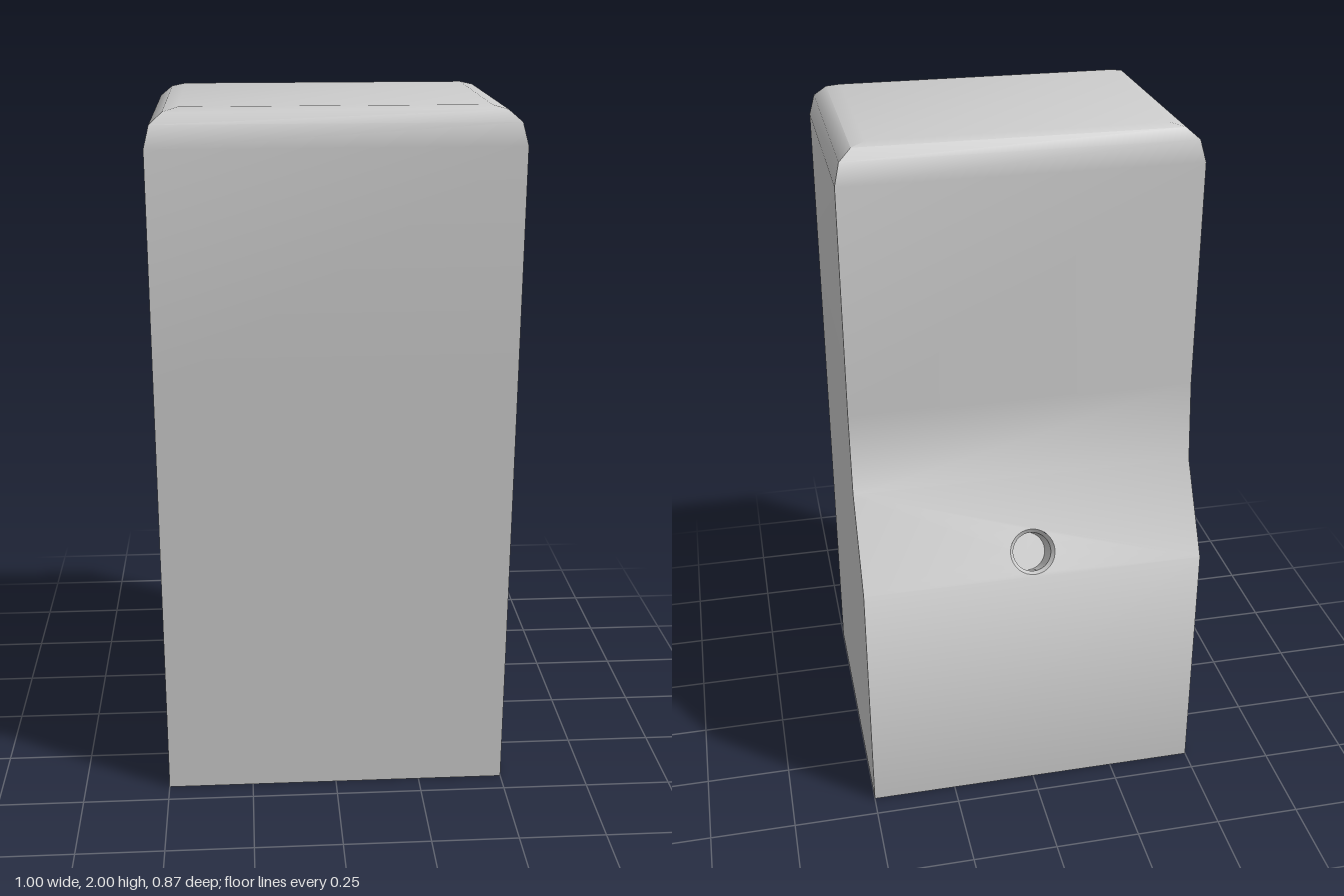
import * as THREE from 'three';
import { mergeGeometries, toCreasedNormals } from 'three/addons/utils/BufferGeometryUtils.js';

// Cross-sections from the base up: [y, half width, back z, front z]
const SECTIONS = [
  [0, 0.5, -0.435, 0.435],
  [0.75, 0.5, -0.435, 0.435],
  [1.0, 0.5, -0.285, 0.435],
  [1.24, 0.5, -0.26, 0.435],
  [1.9, 0.5, -0.26, 0.435],
  [1.96, 0.485, -0.247, 0.422],
  [1.99, 0.45, -0.225, 0.4],
  [2.0, 0.41, -0.205, 0.375],
];
const SLOPE = 1; // index of the section where the sloped back panel starts
const HOLE_RADIUS = 0.066;
const HOLE_OFFSET = 0.072; // hole centre, measured up the slope

// Frame of the sloped panel: x across, y up the slope, z outward
const low = new THREE.Vector3(0, SECTIONS[SLOPE][0], SECTIONS[SLOPE][2]);
const high = new THREE.Vector3(0, SECTIONS[SLOPE + 1][0], SECTIONS[SLOPE + 1][2]);
const up = high.clone().sub(low).normalize();
const across = new THREE.Vector3(-1, 0, 0);
const outward = across.clone().cross(up);

// Four-sided shell lofted through the sections, with the slope left open
function shellGeometry() {
  const rings = SECTIONS.map(([y, w, back, front]) => [
    [-w, y, front], [w, y, front], [w, y, back], [-w, y, back],
  ]);
  const positions = [];
  const quad = (a, b, c, d) => positions.push(...a, ...b, ...c, ...a, ...c, ...d);
  for (let i = 0; i < rings.length - 1; i++) {
    for (let s = 0; s < 4; s++) {
      if (i === SLOPE && s === 2) continue;
      const t = (s + 1) % 4;
      quad(rings[i][s], rings[i][t], rings[i + 1][t], rings[i + 1][s]);
    }
  }
  quad(...rings[rings.length - 1]);
  quad(...[...rings[0]].reverse());
  const geometry = new THREE.BufferGeometry();
  geometry.setAttribute('position', new THREE.Float32BufferAttribute(positions, 3));
  return geometry;
}

// Sloped back panel with the round opening
function slopeGeometry() {
  const length = low.distanceTo(high);
  const shape = new THREE.Shape();
  shape.moveTo(-0.5, 0).lineTo(0.5, 0).lineTo(0.5, length).lineTo(-0.5, length);
  shape.holes.push(new THREE.Path().absarc(0, HOLE_OFFSET, HOLE_RADIUS, 0, Math.PI * 2, true));
  const geometry = new THREE.ShapeGeometry(shape, 16).toNonIndexed();
  geometry.applyMatrix4(new THREE.Matrix4().makeBasis(across, up, outward).setPosition(low));
  geometry.deleteAttribute('normal');
  geometry.deleteAttribute('uv');
  // Snap so the panel edges coincide with the shell
  const p = geometry.attributes.position.array;
  for (let i = 0; i < p.length; i++) p[i] = Math.round(p[i] * 1e4) / 1e4;
  return geometry;
}

export function createModel() {
  const group = new THREE.Group();
  const material = new THREE.MeshStandardMaterial({ color: 0xcccccc });

  // Body: scaled up while creasing so close vertices stay distinct
  let bodyGeometry = mergeGeometries([shellGeometry(), slopeGeometry()]);
  bodyGeometry.scale(100, 100, 100);
  bodyGeometry = toCreasedNormals(bodyGeometry, 0.62);
  bodyGeometry.scale(0.01, 0.01, 0.01);
  const body = new THREE.Mesh(bodyGeometry, material);
  body.name = 'body';
  group.add(body);

  // Blind hole with a chamfered rim, square to the slope
  const profile = [[HOLE_RADIUS, 0], [0.056, -0.012], [0.056, -0.012], [0.056, -0.1], [0.056, -0.1], [0, -0.1]];
  const bore = new THREE.Group();
  bore.name = 'hole';
  for (let i = 0; i < profile.length; i += 2) {
    const points = [profile[i], profile[i + 1]].map(([r, y]) => new THREE.Vector2(r, y));
    const wall = new THREE.Mesh(new THREE.LatheGeometry(points, 32), material);
    wall.name = ['holeChamfer', 'holeWall', 'holeFloor'][i / 2];
    bore.add(wall);
  }
  bore.position.copy(low).addScaledVector(up, HOLE_OFFSET);
  bore.quaternion.setFromUnitVectors(new THREE.Vector3(0, 1, 0), outward);
  group.add(bore);

  return group;
}
